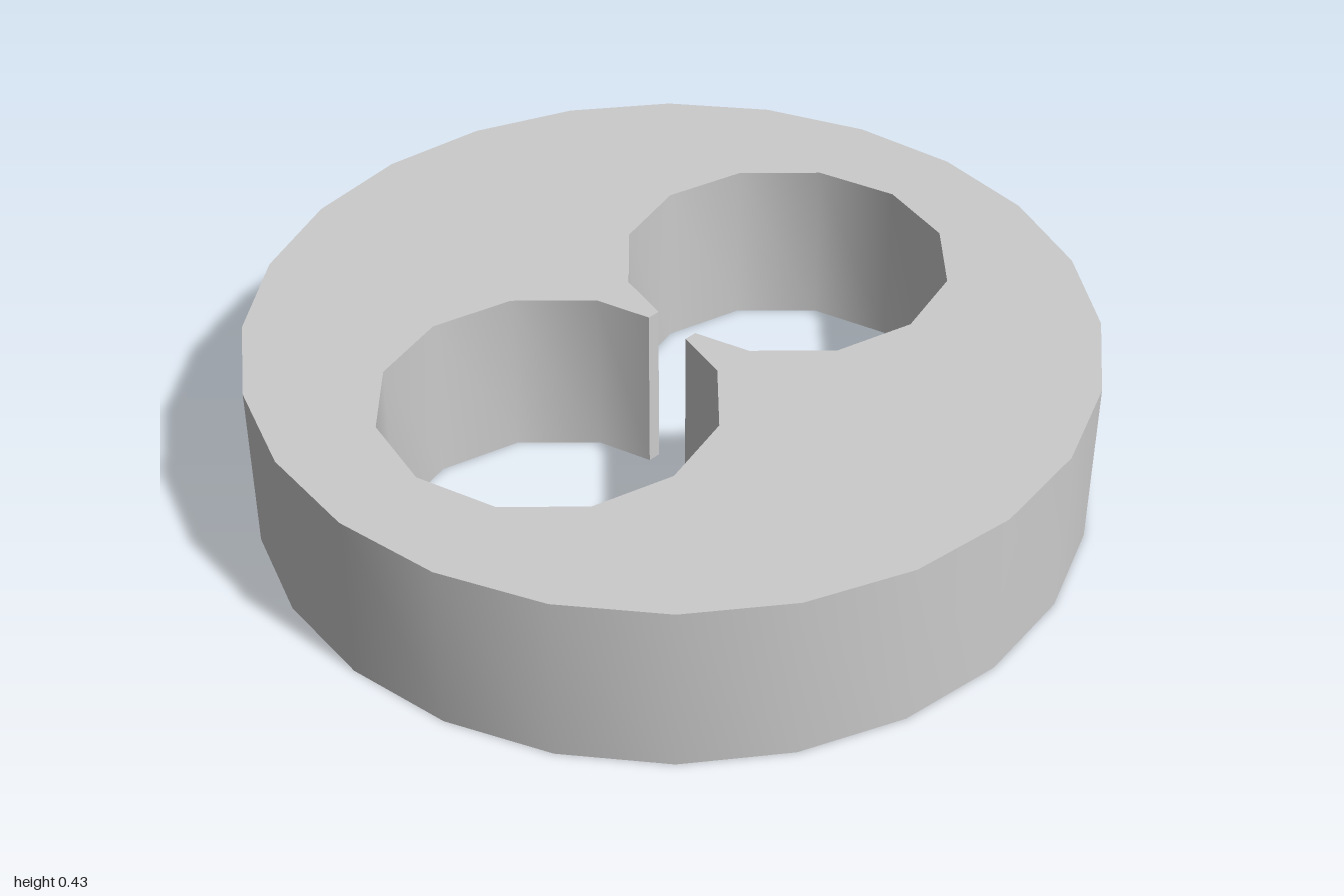
import * as THREE from 'three';
import { toCreasedNormals } from 'three/addons/utils/BufferGeometryUtils.js';

const HEIGHT = 0.427;
const HOLE_RADIUS = 0.393; // also the distance of each hole from the centre
const SLOT = 0.06; // half width of the gap joining the holes

// Points on a circle, in equal steps from one angle (degrees) to another
function arc(cy, radius, from, to, step) {
  const points = [];
  for (let a = from; a <= to; a += step) {
    const t = THREE.MathUtils.degToRad(a);
    points.push(new THREE.Vector2(radius * Math.cos(t), cy + radius * Math.sin(t)));
  }
  return points;
}

export function createModel() {
  const group = new THREE.Group();
  group.name = 'slottedDisc';

  // 24-sided rim
  const shape = new THREE.Shape(arc(0, 1, 0, 345, 15));

  // Two 12-sided holes meeting in a narrow slot; the second is the first turned by 180 degrees
  const tip = SLOT * Math.tan(Math.PI / 12);
  const half = [
    new THREE.Vector2(SLOT, tip),
    ...arc(HOLE_RADIUS, HOLE_RADIUS, -60, 240, 30),
    new THREE.Vector2(-SLOT, tip),
  ];
  const opening = [...half, ...half.map((p) => p.clone().negate())];
  shape.holes.push(new THREE.Path(opening));

  // Solid disc lying flat, with smooth walls and sharp rims
  const geometry = new THREE.ExtrudeGeometry(shape, { depth: HEIGHT, bevelEnabled: false });
  geometry.rotateX(-Math.PI / 2);
  const disc = new THREE.Mesh(
    toCreasedNormals(geometry, THREE.MathUtils.degToRad(35)),
    new THREE.MeshStandardMaterial({ color: 0xcccccc }),
  );
  disc.name = 'disc';
  group.add(disc);

  return group;
}
